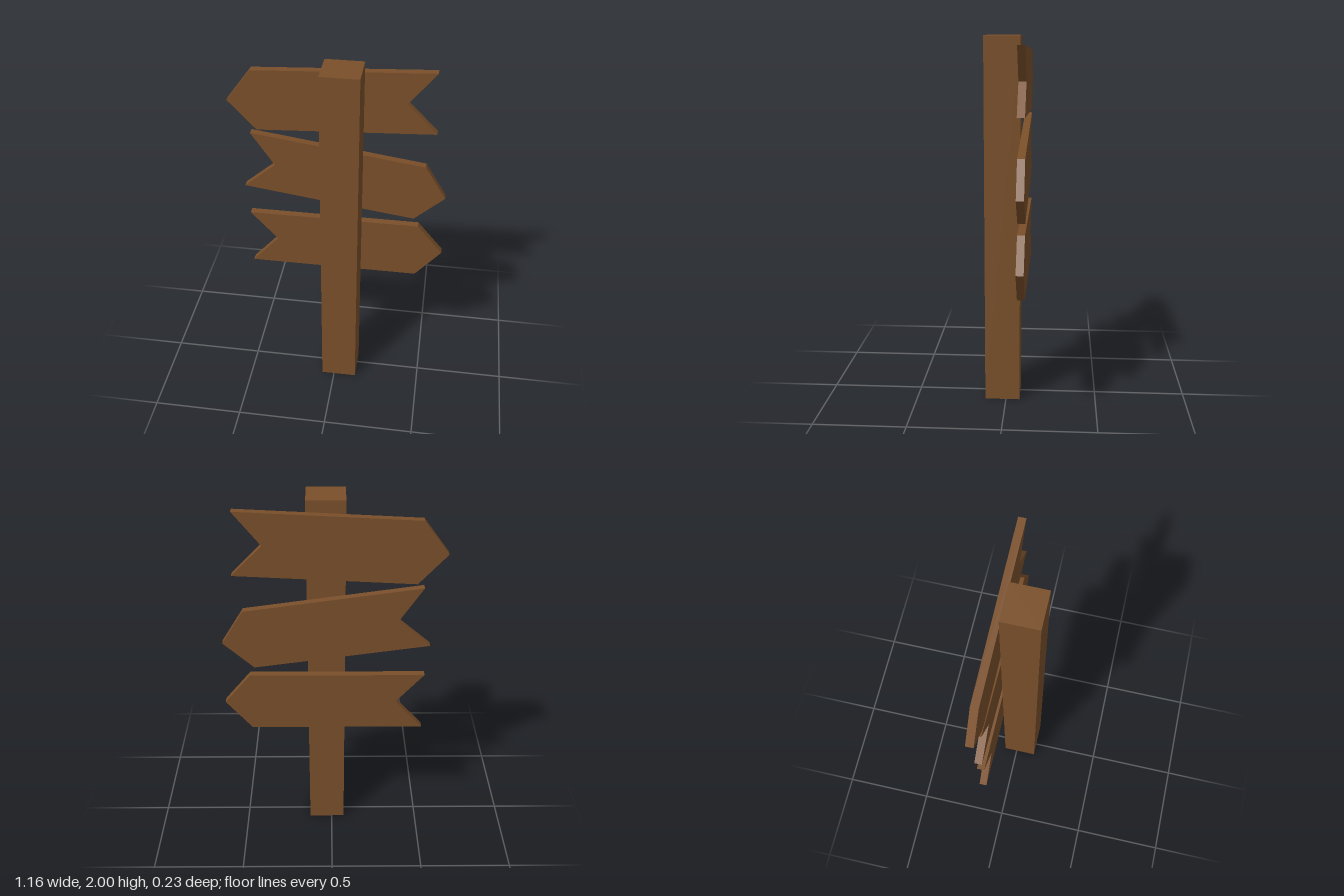
import * as THREE from 'three';

const wood = new THREE.MeshStandardMaterial({ color: 0x7a4f2a, flatShading: true });

// Arrow board with a pointed tip and a notched tail; dir = 1 points to +x, -1 to -x
function arrowBoard(name, dir, x, y, tilt) {
  const outline = [[-0.47, 0.17], [-0.32, 0], [-0.47, -0.17], [0.47, -0.17], [0.61, 0], [0.47, 0.17]];
  const shape = new THREE.Shape(outline.map(([px, py]) => new THREE.Vector2(px * dir, py)));
  const geometry = new THREE.ExtrudeGeometry(shape, { depth: 0.04, bevelEnabled: false });
  const board = new THREE.Mesh(geometry, wood);
  board.name = name;
  board.position.set(x, y, -0.116);
  board.rotation.z = tilt;
  return board;
}

export function createModel() {
  const group = new THREE.Group();
  group.name = 'signpost';

  // Square post standing in front of the boards
  const post = new THREE.Mesh(new THREE.BoxGeometry(0.2, 2, 0.192), wood);
  post.name = 'post';
  post.position.set(0.028, 1, 0.02);
  group.add(post);

  // Three boards fixed to the back of the post
  group.add(
    arrowBoard('topBoard', -1, 0.026, 1.766, 0.052),
    arrowBoard('middleBoard', 1, -0.03, 1.315, -0.139),
    arrowBoard('bottomBoard', 1, -0.03, 0.86, 0)
  );
  return group;
}
